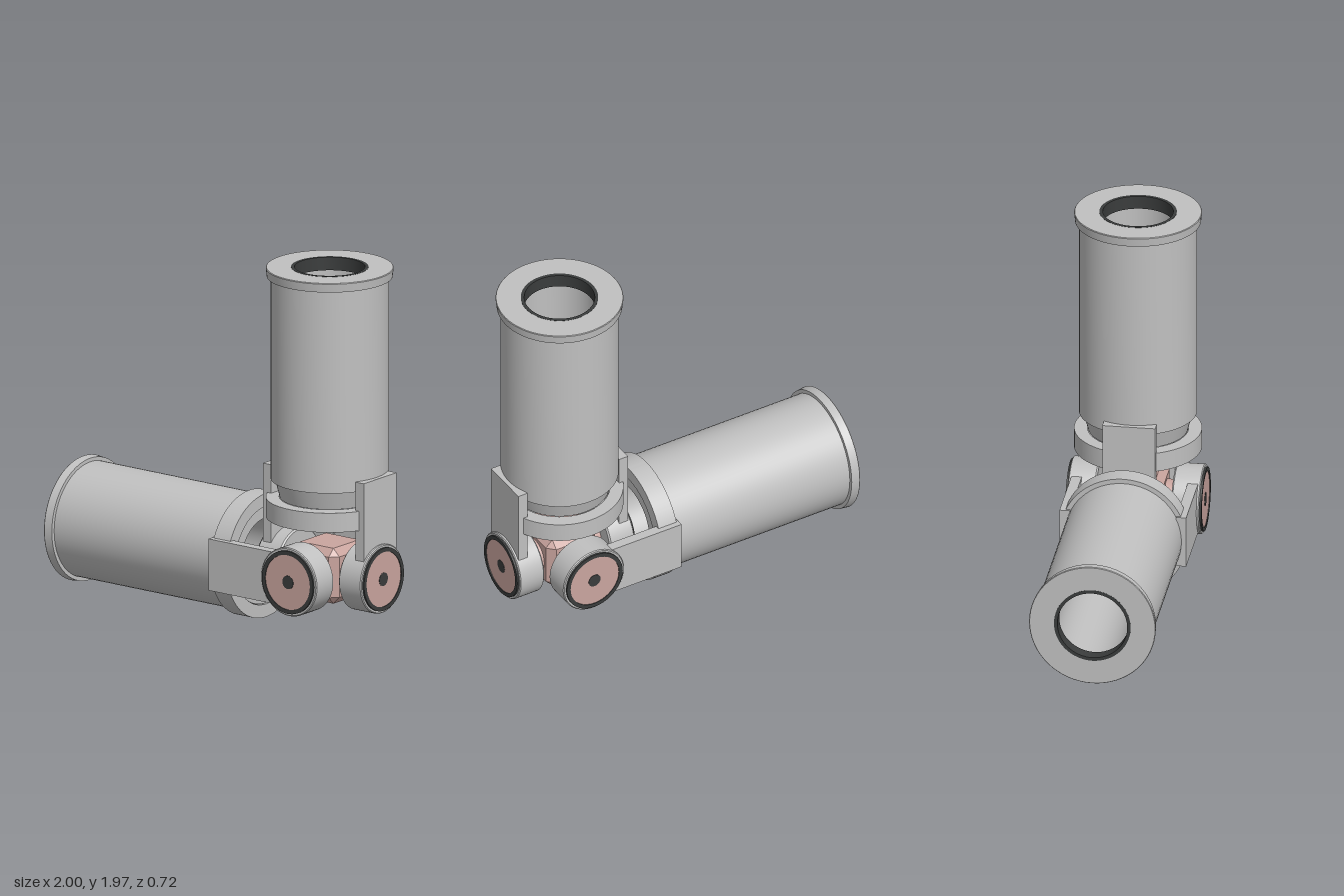
import * as THREE from 'three';
import { toCreasedNormals } from 'three/addons/utils/BufferGeometryUtils.js';
import { ConvexGeometry } from 'three/addons/geometries/ConvexGeometry.js';

const steel = new THREE.MeshStandardMaterial({ name: 'light steel', color: 0xc0c0c0 });
const copper = new THREE.MeshStandardMaterial({ name: 'pale copper', color: 0xcaa59f });
const rubber = new THREE.MeshStandardMaterial({ name: 'dark rubber', color: 0x3a3c3c });

function add(parent, name, geometry, material) {
  const mesh = new THREE.Mesh(geometry, material);
  mesh.name = name;
  parent.add(mesh);
  return mesh;
}

// Closed ring profile of [radius, height], turned around y
function turned(points) {
  const profile = [...points, points[0]].map(([r, y]) => new THREE.Vector2(r, y));
  return toCreasedNormals(new THREE.LatheGeometry(profile, 64), 0.5);
}

// Ring with two flats where the fork straps are seated
function collarGeometry(height) {
  const r = 0.335, a = Math.acos(0.305 / r);
  const shape = new THREE.Shape();
  shape.absarc(0, 0, r, a, Math.PI - a, false);
  shape.absarc(0, 0, r, Math.PI + a, 2 * Math.PI - a, false);
  shape.closePath();
  const hole = new THREE.Path();
  hole.absarc(0, 0, 0.265, 0, Math.PI * 2, true);
  shape.holes.push(hole);
  const geometry = new THREE.ExtrudeGeometry(shape, { depth: height, bevelEnabled: false, curveSegments: 40 });
  geometry.rotateX(-Math.PI / 2);
  return toCreasedNormals(geometry, 0.4);
}

// Bearing hub with its seal and shaft end, pointing along +y
function makeHub(name) {
  const hub = new THREE.Group();
  hub.name = name;
  const housing = [[0.09, 0.2], [0.177, 0.2], [0.185, 0.208], [0.185, 0.345], [0.18, 0.35], [0.09, 0.35]];
  add(hub, 'bearingHousing', turned(housing), steel);
  add(hub, 'bearingSeal', turned([[0.148, 0.34], [0.17, 0.34], [0.17, 0.36], [0.148, 0.36]]), rubber);
  add(hub, 'shaft', new THREE.CylinderGeometry(0.095, 0.095, 0.2, 48), copper).position.y = 0.22;
  add(hub, 'shaftEndDisc', new THREE.CylinderGeometry(0.15, 0.15, 0.01, 64), copper).position.y = 0.351;
  add(hub, 'centreHole', new THREE.CylinderGeometry(0.036, 0.036, 0.004, 32), rubber).position.y = 0.356;
  return hub;
}

// Hollow arm with a fork, pointing along +y from the joint centre
function makeArm(name, tubeStart, collarStart, collarEnd) {
  const arm = new THREE.Group();
  arm.name = name;
  const end = 1.637, flange = end - 0.05;
  add(arm, 'tube', turned([
    [0.2, tubeStart - 0.1], [0.262, tubeStart - 0.1], [0.288, tubeStart], [0.31, tubeStart],
    [0.31, flange], [0.33, flange], [0.335, end - 0.004], [0.332, end], [0.2, end],
  ]), steel);
  add(arm, 'boreSeal', turned([
    [0.185, end - 0.07], [0.203, end - 0.07], [0.203, end + 0.001], [0.185, end + 0.001],
  ]), rubber);
  add(arm, 'collar', collarGeometry(collarEnd - collarStart), steel).position.y = collarStart;
  for (const side of [-1, 1]) {
    const strap = add(arm, 'forkStrap', new THREE.BoxGeometry(0.055, 0.425, 0.28), steel);
    strap.position.set(side * 0.3075, 0.3325, 0);
    const hub = makeHub('bearingHub');
    hub.rotation.z = -side * Math.PI / 2;
    arm.add(hub);
  }
  return arm;
}

// Cube with chamfered edges and corners
function crossBlockGeometry() {
  const a = 0.15, b = 0.11, points = [];
  for (const x of [-1, 1]) for (const y of [-1, 1]) for (const z of [-1, 1]) {
    points.push(
      new THREE.Vector3(x * a, y * b, z * b),
      new THREE.Vector3(x * b, y * a, z * b),
      new THREE.Vector3(x * b, y * b, z * a),
    );
  }
  return new ConvexGeometry(points);
}

export function createModel() {
  const model = new THREE.Group();
  model.name = 'universalJoint';
  const joint = new THREE.Group();
  joint.name = 'jointAssembly';
  joint.position.set(0.637, 0.337, 0);
  model.add(joint);

  add(joint, 'crossBlock', crossBlockGeometry(), copper);
  joint.add(makeArm('uprightArm', 0.49, 0.285, 0.39));

  // The second arm lies along -x with its fork across z
  const level = makeArm('levelArm', 0.53, 0.422, 0.532);
  level.rotation.set(Math.PI / 2, 0, Math.PI / 2);
  joint.add(level);
  return model;
}
